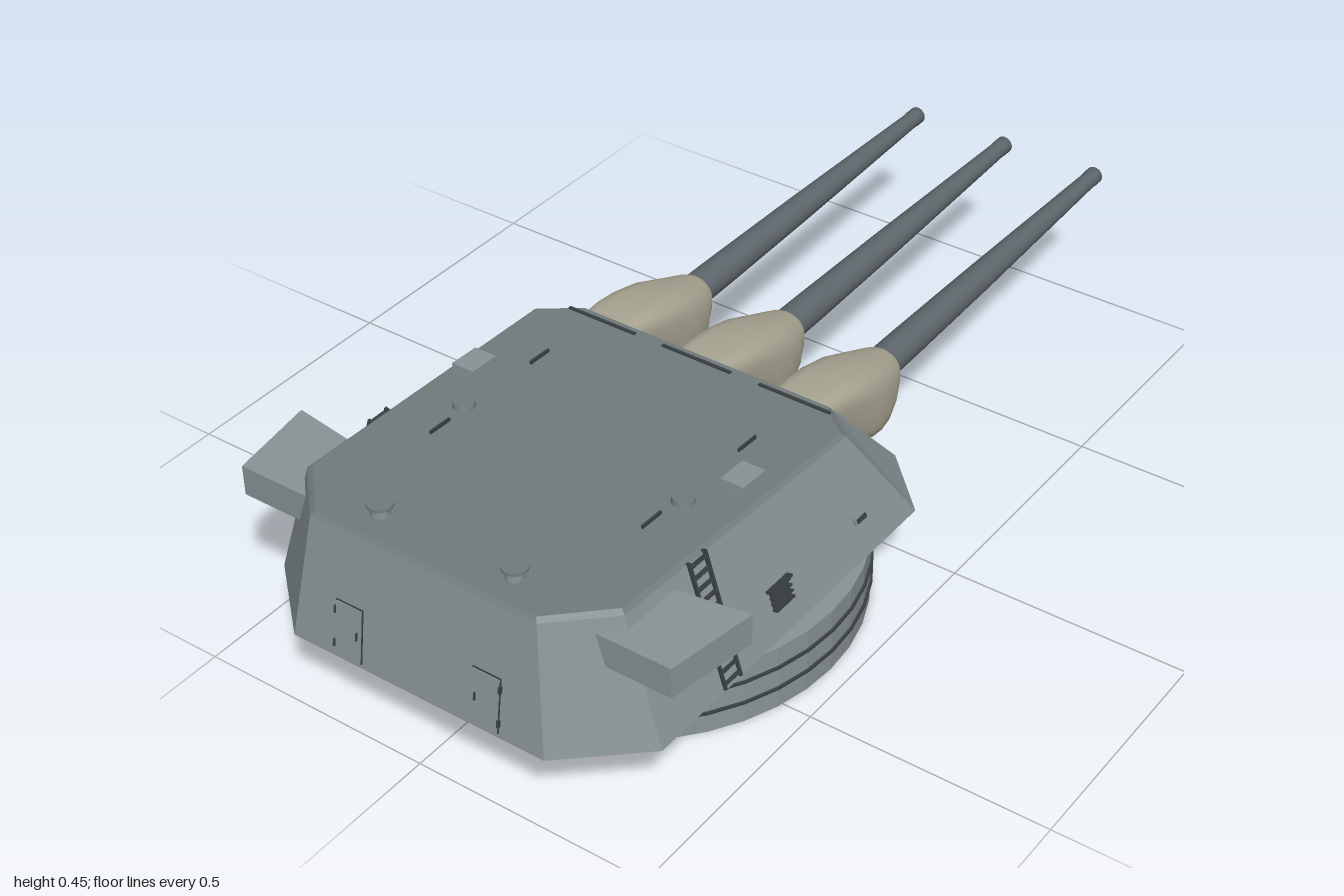
import * as THREE from 'three';

const material = (color, extra = {}) => {
  const m = new THREE.MeshStandardMaterial(extra);
  m.color.set(color);
  return m;
};
const wallMat = material(0x8a9598, { flatShading: true });
const roofMat = material(0x737d7e, { flatShading: true });
const darkMat = material(0x3a4143, { flatShading: true });
const barrelMat = material(0x5e666b);
const bagMat = material(0xaaa694);

// Skin a list of equal-sized rings, with flat caps on both ends
function loft(rings) {
  const n = rings[0].length, pos = [], idx = [];
  const push = (ring) => ring.forEach((p) => pos.push(...p));
  rings.forEach(push);
  for (let i = 0; i < rings.length - 1; i++) {
    for (let j = 0; j < n; j++) {
      const a = i * n + j, b = i * n + (j + 1) % n;
      idx.push(a, b, b + n, a, b + n, a + n);
    }
  }
  const first = rings.length * n, last = first + n;
  push(rings[0]);
  push(rings[rings.length - 1]);
  for (let j = 1; j < n - 1; j++) {
    idx.push(first, first + j + 1, first + j, last, last + j, last + j + 1);
  }
  const g = new THREE.BufferGeometry();
  g.setAttribute('position', new THREE.Float32BufferAttribute(pos, 3));
  g.setIndex(idx);
  g.computeVertexNormals();
  return g;
}

function add(parent, name, geometry, mat, x = 0, y = 0, z = 0) {
  const m = new THREE.Mesh(geometry, mat);
  m.name = name;
  m.position.set(x, y, z);
  parent.add(m);
  return m;
}
const box = (w, h, d) => new THREE.BoxGeometry(w, h, d);
const disc = (r1, r2, h, n) => new THREE.CylinderGeometry(r1, r2, h, n);

// Slopes of the armoured house
const roofY = (z) => 0.392 + (z - 0.13) * 0.0402;
const sideX = (y) => 0.435 - (y - 0.157) * 0.304;
const backZ = (y) => 0.995 - (y - 0.157) * 0.152;

function anchor(parent, name, x, y, z, rx, rz) {
  const g = new THREE.Group();
  g.name = name;
  g.position.set(x, y, z);
  g.rotation.set(rx, 0, rz);
  parent.add(g);
  return g;
}
const onRoof = (p, name, x, z) => anchor(p, name, x, roofY(z), z, -Math.atan(0.0402), 0);
const onSide = (p, name, s, y, z) => anchor(p, name, s * sideX(y), y, z, 0, s * Math.atan(0.304));
const onBack = (p, name, x, y) => anchor(p, name, x, y, backZ(y), -Math.atan(0.152), 0);

// Mirror half an outline (+x side, back to front) into a closed ring
const mirrorRing = (half) => [...half, ...half.slice().reverse().map(([x, y, z]) => [-x, y, z])];

function buildHouse(root) {
  const floor = mirrorRing([[0.285, 0.157, 0.995], [0.435, 0.157, 0.86], [0.435, 0.157, 0.05], [0.31, 0.157, -0.075]]);
  const eaves = mirrorRing([[0.252, 0.955], [0.355, 0.85], [0.364, 0.19], [0.29, 0.13]]
    .map(([x, z]) => [x, roofY(z) - 0.008, z]));
  const top = eaves.map(([x, y, z]) => [x * 0.975, y + 0.008, 0.54 + (z - 0.54) * 0.982]);
  add(root, 'house', loft([floor, eaves]).toNonIndexed(), wallMat);
  add(root, 'roof', loft([eaves, top]).toNonIndexed(), roofMat);
}

function buildBase(root) {
  add(root, 'base', disc(0.458, 0.458, 0.14, 40), wallMat, 0, 0.07, 0.37);
  add(root, 'baseNeck', disc(0.422, 0.422, 0.03, 40), darkMat, 0, 0.15, 0.37);
  for (const y of [0.047, 0.096]) add(root, 'baseRib', disc(0.463, 0.463, 0.005, 40), darkMat, 0, y, 0.37);
}

function buildGun(root, x) {
  const gun = new THREE.Group();
  gun.name = 'gun';
  gun.position.x = x;
  root.add(gun);

  // Hollow tapered barrel
  const profile = [[0.036, 0], [0.034, 0.2], [0.029, 0.5], [0.022, 0.8], [0.018, 0.97], [0.019, 0.975],
    [0.019, 1], [0.012, 1], [0.012, 0.9], [0, 0.9]].map(([r, y]) => new THREE.Vector2(r, y * 0.95));
  const barrel = add(gun, 'barrel', new THREE.LatheGeometry(profile, 20), barrelMat, 0, 0.297, -0.05);
  barrel.rotation.x = -Math.PI / 2 + 0.012;
  barrel.material.side = THREE.DoubleSide;

  // Canvas bag: top z/y, bottom z/y, half width, squareness
  const sections = [
    [0.14, 0.392, -0.02, 0.215, 0.066, 5],
    [0.10, 0.392, -0.04, 0.207, 0.071, 4.5],
    [0.05, 0.388, -0.065, 0.205, 0.075, 3.8],
    [-0.02, 0.377, -0.095, 0.207, 0.074, 3],
    [-0.09, 0.354, -0.125, 0.222, 0.063, 2.5],
    [-0.135, 0.341, -0.145, 0.244, 0.05, 2.1],
    [-0.152, 0.333, -0.152, 0.262, 0.042, 2],
  ];
  const rings = sections.map(([tz, ty, bz, by, w, e]) => Array.from({ length: 28 }, (_, i) => {
    const a = -i / 28 * Math.PI * 2;
    const c = Math.cos(a), s = Math.sin(a);
    const v = Math.sign(s) * Math.abs(s) ** (2 / e);
    const t = (v + 1) / 2;
    return [w * Math.sign(c) * Math.abs(c) ** (2 / e), by + (ty - by) * t, bz + (tz - bz) * t];
  }));
  add(gun, 'blastBag', loft(rings), bagMat);
  const lip = onRoof(gun, 'bagFlap', 0, 0.155);
  add(lip, 'flapStrip', box(0.16, 0.006, 0.007), darkMat);
}

function buildSide(root, s) {
  // Rangefinder arm with a sloped inner end
  const arm = (y, inset) => {
    const ring = [[0.30 + inset, y, 0.89], [0.48, y, 0.89], [0.51, y, 0.70], [0.34 + inset, y, 0.725]];
    return s > 0 ? ring : ring.map(([x, h, z]) => [-x, h, z]).reverse();
  };
  add(root, 'rangefinderArm', loft([arm(0.322, 0.03), arm(0.386, 0)]).toNonIndexed(), wallMat);
  const lens = add(root, 'rangefinderWindow', box(0.055, 0.036, 0.008), darkMat, s * 0.455, 0.354, 0.7075);
  lens.rotation.y = s * 0.15;

  // Ladder
  const ladder = onSide(root, 'ladder', s, 0.285, 0.652);
  for (const z of [-0.023, 0.023]) add(ladder, 'ladderRail', box(0.012, 0.26, 0.005), darkMat, 0, 0, z);
  for (let i = 0; i < 11; i++) add(ladder, 'ladderRung', box(0.012, 0.005, 0.046), darkMat, 0, -0.12 + i * 0.024, 0);

  // Louvred vent and sight port
  const vent = onSide(root, 'sideVent', s, 0.23, 0.475);
  add(vent, 'ventBack', box(0.008, 0.042, 0.052), darkMat);
  for (let i = 0; i < 4; i++) add(vent, 'ventSlat', box(0.022, 0.004, 0.056), darkMat, 0, -0.018 + i * 0.012, 0);
  add(vent, 'ventHood', box(0.026, 0.005, 0.066), darkMat, 0, 0.023, 0);
  const port = onSide(root, 'sightPort', s, 0.235, 0.215);
  add(port, 'portFrame', box(0.012, 0.016, 0.036), wallMat);
  add(port, 'portSlit', box(0.018, 0.009, 0.028), darkMat);

  // Rear door with hinges and handle
  const door = onBack(root, 'rearDoor', s * 0.155, 0.222);
  add(door, 'doorFrame', box(0.062, 0.113, 0.004), darkMat);
  add(door, 'doorPanel', box(0.058, 0.109, 0.009), wallMat);
  for (const y of [-0.035, 0.035]) add(door, 'doorHinge', box(0.005, 0.014, 0.012), darkMat, s * 0.031, y, 0);
  add(door, 'doorHandle', box(0.003, 0.016, 0.016), darkMat, -s * 0.021, 0, 0);

  // Roof fittings
  const vent2 = onRoof(root, 'roofVent', s * 0.15, 0.885);
  add(vent2, 'ventStem', disc(0.018, 0.018, 0.026, 16), wallMat, 0, 0.01, 0);
  add(vent2, 'ventCap', disc(0.025, 0.025, 0.006, 16), roofMat, 0, 0.022, 0);
  const hatch = onRoof(root, 'roofHatch', s * 0.25, 0.54);
  add(hatch, 'hatchLid', disc(0.02, 0.023, 0.012, 16), roofMat, 0, 0.004, 0);
  const sight = onRoof(root, 'roofSight', s * 0.308, 0.44);
  add(sight, 'sightBox', box(0.05, 0.032, 0.068), wallMat, 0, 0.011, 0);
  add(sight, 'sightSlit', box(0.03, 0.01, 0.004), darkMat, 0, 0.014, -0.034);
  for (const z of [0.33, 0.62]) {
    const rail = onRoof(root, 'roofRail', s * 0.24, z);
    add(rail, 'railBar', box(0.004, 0.008, 0.055), darkMat, 0, 0.003, 0);
  }
}

export function createModel() {
  const root = new THREE.Group();
  root.name = 'gunTurret';
  buildBase(root);
  buildHouse(root);
  for (const x of [-0.225, 0, 0.225]) buildGun(root, x);
  for (const s of [-1, 1]) buildSide(root, s);
  return root;
}
